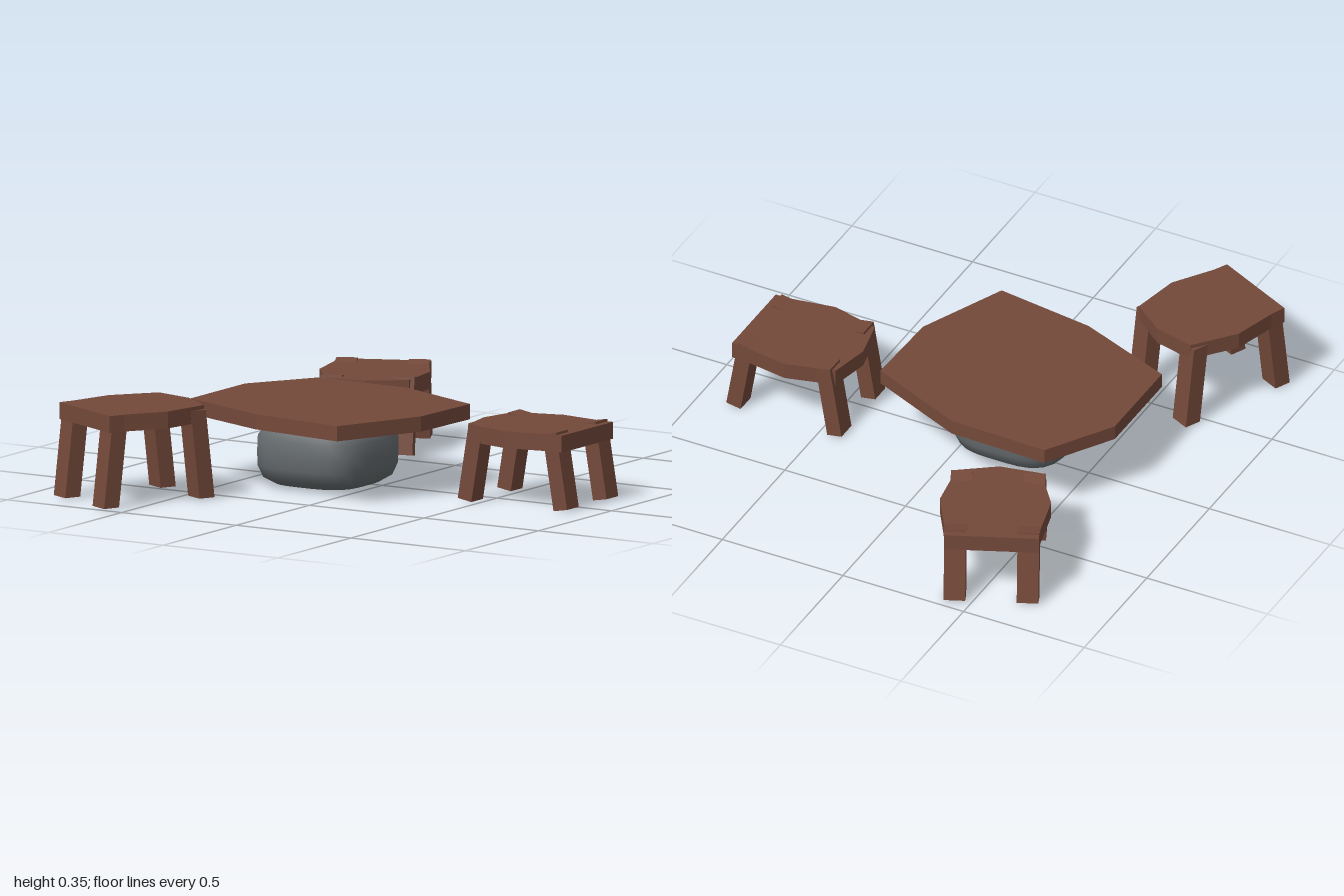
import * as THREE from 'three';
import { mergeVertices } from 'three/addons/utils/BufferGeometryUtils.js';

const wood = new THREE.MeshStandardMaterial({ color: 0x74493a });
wood.name = 'brown wood';
const rock = new THREE.MeshStandardMaterial({ color: 0x666b6e });
rock.name = 'grey stone';

function addMesh(parent, name, geometry, material) {
  const mesh = new THREE.Mesh(geometry, material);
  mesh.name = name;
  parent.add(mesh);
  return mesh;
}

// Flat slab from an (x, z) outline, its upper face at y = top
function slab(outline, top, thickness) {
  const shape = new THREE.Shape(outline.map(([x, z]) => new THREE.Vector2(x, z)));
  return new THREE.ExtrudeGeometry(shape, { depth: thickness, bevelEnabled: false })
    .rotateX(Math.PI / 2)
    .translate(0, top, 0);
}

// Boulder: a lathe whose round section is pushed out to a rounded square
function boulderGeometry() {
  const profile = [
    [0, 0.02], [0.17, 0.02], [0.21, 0.045], [0.228, 0.09], [0.23, 0.14],
    [0.228, 0.195], [0.21, 0.225], [0.18, 0.25], [0, 0.262],
  ].map(([r, y]) => new THREE.Vector2(r, y));
  let geo = new THREE.LatheGeometry(profile, 32);
  const pos = geo.attributes.position;
  for (let i = 0; i < pos.count; i++) {
    const x = pos.getX(i), z = pos.getZ(i), r = Math.hypot(x, z);
    if (r < 1e-5) continue;
    const k = 1 / Math.pow(Math.abs(x / r) ** 3.5 + Math.abs(z / r) ** 3.5, 1 / 3.5);
    pos.setX(i, x * k);
    pos.setZ(i, z * k);
  }
  geo.deleteAttribute('normal');
  geo.deleteAttribute('uv');
  geo = mergeVertices(geo, 1e-4);
  geo.computeVertexNormals();
  return geo;
}

// Leg tilted outwards, with square-cut ends that poke through the seat
function tiltedLeg(side) {
  const tilt = 0.168;
  return new THREE.BoxGeometry(0.06, 0.288, 0.08)
    .rotateZ(side * tilt)
    .translate(side * 0.185, 0.157, 0);
}

// Taller leg, slanted but cut level at both ends
function slantedLeg(side) {
  const geo = new THREE.BoxGeometry(0.065, 0.33, 0.08).translate(0, 0.18, 0);
  const pos = geo.attributes.position;
  for (let i = 0; i < pos.count; i++) {
    const u = 0.207 - 0.115 * (pos.getY(i) - 0.015);
    pos.setX(i, pos.getX(i) + side * u);
  }
  geo.computeVertexNormals();
  return geo;
}

// Stool with its straight edge towards local +x
const halfSeat = [[0.215, 0.175], [0.155, 0.177], [-0.018, 0.205], [-0.205, 0.157]];
const seatOutline = [
  ...halfSeat, [-0.238, 0], ...halfSeat.map(([x, z]) => [x, -z]).reverse(),
];

function makeStool(name, seatTop, legGeometry) {
  const stool = new THREE.Group();
  stool.name = name;
  addMesh(stool, 'seat', slab(seatOutline, seatTop, 0.063), wood);
  for (const side of [1, -1]) {
    for (const z of [0.135, -0.135]) {
      addMesh(stool, side > 0 ? 'outerLeg' : 'innerLeg', legGeometry(side), wood).position.z = z;
    }
  }
  return stool;
}

export function createModel() {
  const model = new THREE.Group();
  model.name = 'tableWithStools';

  // Table: irregular wooden top on a boulder
  const table = new THREE.Group();
  table.name = 'table';
  model.add(table);
  const topOutline = [
    [-0.65, -0.08], [-0.49, -0.335], [-0.1, -0.325], [0.28, -0.16],
    [0.27, 0.16], [0.12, 0.5], [-0.27, 0.445], [-0.65, 0.295],
  ];
  addMesh(table, 'tableTop', slab(topOutline, 0.317, 0.057), wood);
  addMesh(table, 'boulderBase', boulderGeometry(), rock).position.set(-0.187, 0, 0.08);

  // Three stools; the direction is where each straight edge points
  const stools = [
    ['rightStool', 0.645, -0.053, 1, 0, 0.295, tiltedLeg],
    ['frontStool', -0.633, 0.706, -0.43, 0.9, 0.36, slantedLeg],
    ['backStool', -0.472, -0.693, -0.4, -0.917, 0.295, tiltedLeg],
  ];
  for (const [name, x, z, dx, dz, top, leg] of stools) {
    const stool = makeStool(name, top, leg);
    stool.position.set(x, 0, z);
    stool.rotation.y = Math.atan2(-dz, dx);
    model.add(stool);
  }
  return model;
}
